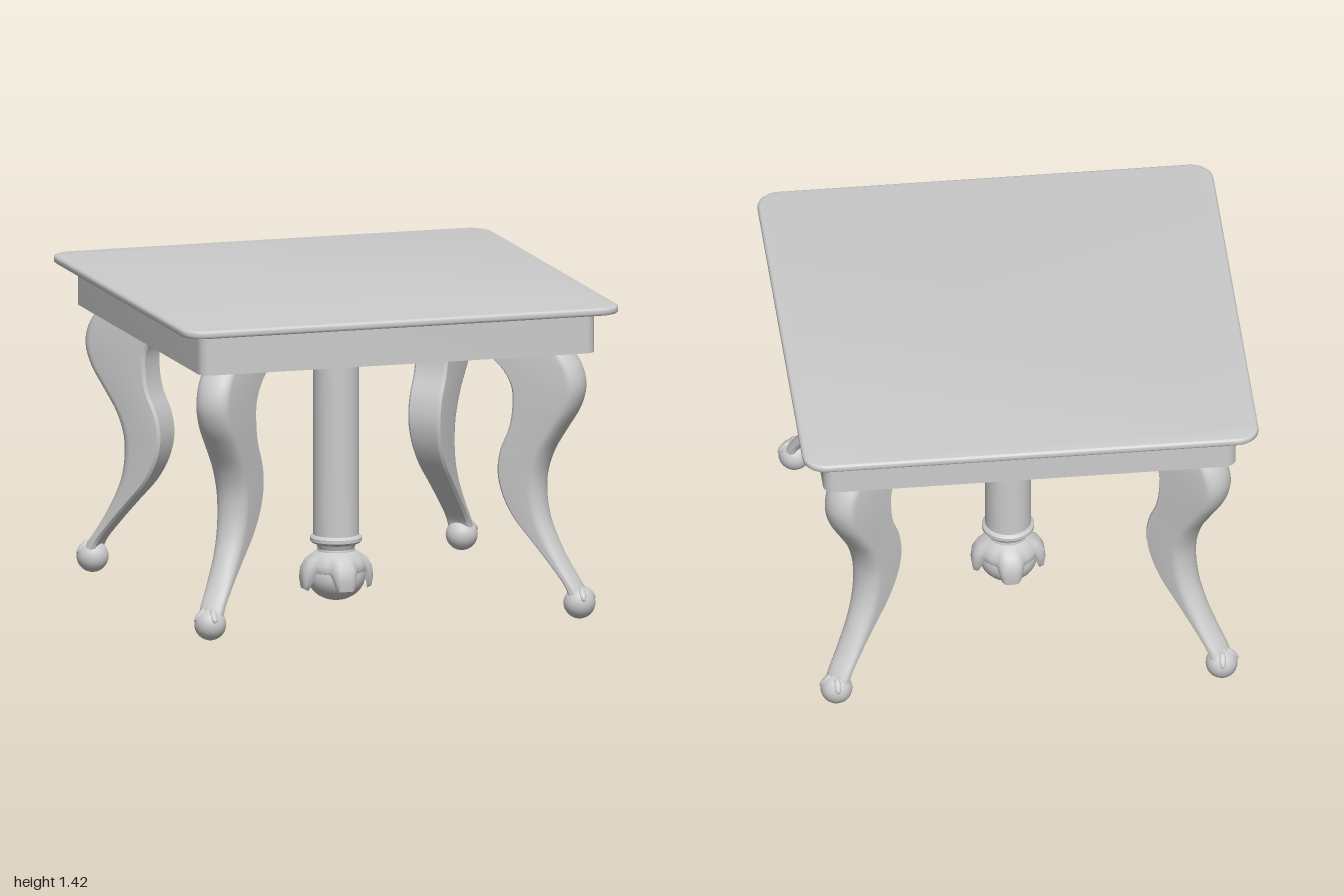
import * as THREE from 'three';
import { toCreasedNormals } from 'three/addons/utils/BufferGeometryUtils.js';

const material = new THREE.MeshStandardMaterial({ color: 0xcccccc });
const doubleMaterial = new THREE.MeshStandardMaterial({ color: 0xcccccc, side: THREE.DoubleSide });

function add(parent, name, geometry, mat = material) {
  const mesh = new THREE.Mesh(geometry, mat);
  mesh.name = name;
  parent.add(mesh);
  return mesh;
}

// Square outline with rounded corners, half-width h
function roundedSquare(h, r, Type = THREE.Shape) {
  const s = new Type();
  s.moveTo(h, -h + r);
  s.lineTo(h, h - r);
  s.absarc(h - r, h - r, r, 0, Math.PI / 2);
  s.lineTo(-h + r, h);
  s.absarc(-h + r, h - r, r, Math.PI / 2, Math.PI);
  s.lineTo(-h, -h + r);
  s.absarc(-h + r, -h + r, r, Math.PI, 1.5 * Math.PI);
  s.lineTo(h - r, -h);
  s.absarc(h - r, -h + r, r, 1.5 * Math.PI, 2 * Math.PI);
  return s;
}

// Skin closed rings of [x, y, z], stacked from bottom to top
function loft(rings, capped) {
  const n = rings[0].length, pos = rings.flat(2), index = [];
  for (let i = 0; i < rings.length - 1; i++) {
    for (let j = 0; j < n; j++) {
      const a = i * n + j, b = i * n + (j + 1) % n;
      index.push(a, b + n, b, a, a + n, b + n);
    }
  }
  if (capped) {
    const top = (rings.length - 1) * n;
    for (let j = 1; j < n - 1; j++) {
      index.push(0, j, j + 1, top, top + j + 1, top + j);
    }
  }
  const g = new THREE.BufferGeometry();
  g.setAttribute('position', new THREE.Float32BufferAttribute(pos, 3));
  g.setIndex(index);
  return g;
}

// Curved leg lying along local +x: rounded outer face, flat sides and back
function legGeometry() {
  // height, outer and inner edge (both divided by root 2 from the axis)
  const outline = [
    [0.115, 0.868, 0.825], [0.16, 0.852, 0.812], [0.25, 0.809, 0.762], [0.35, 0.77, 0.70],
    [0.45, 0.739, 0.638], [0.55, 0.725, 0.60], [0.65, 0.727, 0.585], [0.75, 0.751, 0.595],
    [0.85, 0.795, 0.625], [0.95, 0.84, 0.637], [1.04, 0.859, 0.632], [1.12, 0.85, 0.595],
    [1.2, 0.815, 0.515], [1.27, 0.77, 0.44], [1.385, 0.70, 0.31],
  ];
  const curve = new THREE.CatmullRomCurve3(outline.map(([y, o, i]) => new THREE.Vector3(o, y, i)));
  const rings = curve.getPoints(56).map(({ x, y, z }) => {
    const outer = x * Math.SQRT2, inner = z * Math.SQRT2;
    const w = THREE.MathUtils.lerp(0.056, 0.08, THREE.MathUtils.smoothstep(y, 0.12, 0.75));
    const bulge = Math.min(0.05, (outer - inner) * 0.5);
    const ring = [];
    for (let k = 0; k <= 10; k++) {
      const t = -Math.PI / 2 + (k / 10) * Math.PI;
      ring.push([outer - bulge + bulge * Math.cos(t), y, w * Math.sin(t)]);
    }
    ring.push([inner + 0.012, y, w], [inner, y, w - 0.012], [inner, y, -w + 0.012], [inner + 0.012, y, -w]);
    return ring;
  });
  return toCreasedNormals(loft(rings, true), 0.6);
}

// Four-toed skirt gripping the central ball
function clawGeometry() {
  const n = 64;
  // toe radius, web radius, toe height, web height
  const rows = [
    [0.138, 0.122, 0.05, 0.13], [0.156, 0.128, 0.06, 0.132], [0.163, 0.132, 0.105, 0.145],
    [0.158, 0.13, 0.15, 0.165], [0.135, 0.118, 0.188, 0.188], [0.1, 0.098, 0.21, 0.21], [0.08, 0.08, 0.222, 0.222],
  ];
  const rings = rows.map(([rt, rw, yt, yw]) => Array.from({ length: n }, (_, j) => {
    const a = (j / n) * Math.PI * 2;
    const toe = THREE.MathUtils.smoothstep(Math.cos(4 * a), -0.5, 0.75);
    const r = THREE.MathUtils.lerp(rw, rt, toe);
    return [r * Math.cos(a), THREE.MathUtils.lerp(yw, yt, toe), r * Math.sin(a)];
  }));
  return toCreasedNormals(loft(rings, false), 0.8);
}

export function createModel() {
  const table = new THREE.Group();
  table.name = 'table';

  // Thin top with a softened edge
  const b = 0.012;
  const top = new THREE.ExtrudeGeometry(roundedSquare(1 - b, 0.1 - b), {
    depth: 0.035 - 2 * b, bevelThickness: b, bevelSize: b, bevelSegments: 3, curveSegments: 5,
  });
  top.rotateX(-Math.PI / 2).translate(0, 1.385 + b, 0);
  add(table, 'tableTop', toCreasedNormals(top, 0.7));

  // Hollow apron under the top
  const frame = roundedSquare(0.905, 0.05);
  frame.holes.push(roundedSquare(0.865, 0.03, THREE.Path));
  const apron = new THREE.ExtrudeGeometry(frame, { depth: 0.185, bevelEnabled: false, curveSegments: 6 });
  apron.rotateX(-Math.PI / 2).translate(0, 1.205, 0);
  add(table, 'apron', toCreasedNormals(apron, 0.6));

  // Corner legs, each ending on a ball held by toes
  const legShape = legGeometry();
  const ballShape = new THREE.SphereGeometry(0.07, 24, 16);
  const toeShape = new THREE.SphereGeometry(1, 10, 8);
  for (let k = 0; k < 4; k++) {
    const leg = new THREE.Group();
    leg.name = 'cornerLeg' + (k + 1);
    add(leg, 'curvedLeg', legShape);
    const foot = new THREE.Group();
    foot.name = 'foot';
    foot.position.set(0.845 * Math.SQRT2, 0.09, 0);
    add(foot, 'footBall', ballShape);
    for (const yaw of [-0.8, 0.8]) {
      const toe = add(foot, 'toe', toeShape);
      const el = 0.75;
      toe.position.set(0.064 * Math.cos(el) * Math.cos(yaw), 0.064 * Math.sin(el), -0.064 * Math.cos(el) * Math.sin(yaw));
      toe.rotation.set(0, yaw, el - Math.PI / 2, 'YXZ');
      toe.scale.set(0.038, 0.013, 0.016);
    }
    leg.add(foot);
    leg.rotation.y = Math.PI / 4 + (k * Math.PI) / 2;
    table.add(leg);
  }

  // Central column with collar and neck
  const profile = [
    [0.078, 0.205], [0.083, 0.222], [0.08, 0.23], [0.088, 0.25], [0.107, 0.257], [0.114, 0.265],
    [0.114, 0.28], [0.107, 0.288], [0.1, 0.292], [0.1, 1.385],
  ].map(([x, y]) => new THREE.Vector2(x, y));
  add(table, 'centralColumn', toCreasedNormals(new THREE.LatheGeometry(profile, 40), 0.7));

  // Central ball and claw
  const ball = add(table, 'centralBall', new THREE.SphereGeometry(1, 32, 20));
  ball.scale.set(0.128, 0.11, 0.128);
  ball.position.y = 0.11;
  add(table, 'centralClaw', clawGeometry(), doubleMaterial);

  return table;
}
